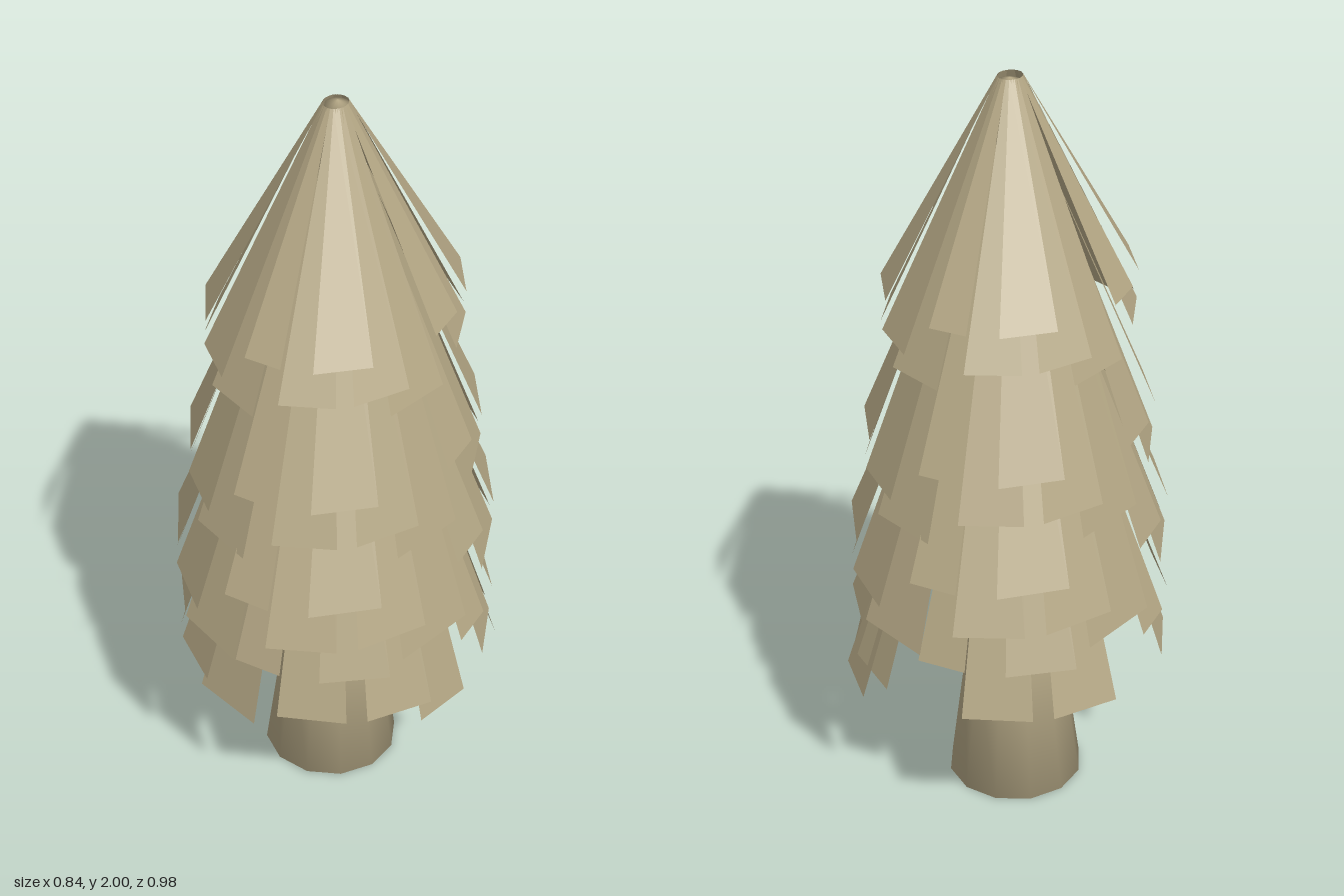
import * as THREE from 'three';

const DEG = Math.PI / 180;

// Each tier: inner radius and height, outer radius, depth relative to width,
// hem heights (short, mid, long)
const TIERS = [
  { r0: 0.03, y0: 2.0, r1: 0.307, depth: 1.2, hems: [1.49, 1.39, 1.335] },
  { r0: 0.06, y0: 1.85, r1: 0.357, depth: 1.19, hems: [1.12, 1.01, 0.94] },
  { r0: 0.09, y0: 1.6, r1: 0.397, depth: 1.2, hems: [0.84, 0.72, 0.645] },
  { r0: 0.1, y0: 1.4, r1: 0.41, depth: 1.01, hems: [0.57, 0.43, 0.36] },
];

// One quarter turn of boughs: [centre angle, half width in degrees, hem index],
// angles from +z towards +x
const QUARTER = [[12.5, 12.5, 1], [28, 12.5, 0], [45, 12.5, 1], [63, 14.5, 2], [82, 9, 0]];

// The few long boughs of the lowest tier: [centre angle, half width, outer radius]
const LOWEST = [[-25.6, 15, 0.392], [67, 12, 0.395], [124, 11.5, 0.43]];

// Flat wedge-shaped bough, narrow at the trunk and wide at its hem
function boughGeometry(angle, halfWidth, depth, r0, y0, r1, y1) {
  const corner = (r, y, side) => {
    const a = angle * DEG, w = r * Math.tan(halfWidth * DEG) * side;
    return [r * Math.sin(a) + w * Math.cos(a), y, (r * Math.cos(a) - w * Math.sin(a)) * depth];
  };
  const g = new THREE.BufferGeometry();
  g.setAttribute('position', new THREE.Float32BufferAttribute([
    ...corner(r0, y0, -1), ...corner(r1, y1, -1), ...corner(r1, y1, 1), ...corner(r0, y0, 1)], 3));
  g.setIndex([0, 1, 2, 0, 2, 3]);
  g.computeVertexNormals();
  return g;
}

export function createModel() {
  const tree = new THREE.Group();
  tree.name = 'pineTree';
  const bark = new THREE.MeshStandardMaterial({ color: 0xb3a684 });
  const needles = new THREE.MeshStandardMaterial({ color: 0xb3a684, side: THREE.DoubleSide });

  // Tapering trunk, closed at both ends and leaning very slightly
  const profile = [[0, 0.02], [0.183, 0], [0.135, 0.36], [0.115, 0.7], [0.03, 1.99], [0, 2]]
    .map(([r, y]) => new THREE.Vector2(r, y));
  const trunk = new THREE.Mesh(new THREE.LatheGeometry(profile, 12), bark);
  trunk.name = 'trunk';
  trunk.position.x = -0.015;
  trunk.rotation.set(-0.006, 0, -0.007);
  tree.add(trunk);

  // Four tiers of overlapping boughs
  TIERS.forEach(({ r0, y0, r1, depth, hems }, t) => {
    const tier = new THREE.Group();
    tier.name = `boughTier${t + 1}`;
    const isLowest = t === TIERS.length - 1;
    const add = (angle, halfWidth, hem, radius) => {
      const bough = new THREE.Mesh(
        boughGeometry(angle, halfWidth, depth, r0, y0, radius, hems[hem]), needles);
      bough.name = 'bough';
      tier.add(bough);
    };
    for (let q = 0; q < 4; q++) {
      for (const [angle, halfWidth, hem] of QUARTER) {
        if (isLowest && hem === 2) continue;
        add(angle + q * 90, halfWidth, hem, r1);
      }
    }
    if (isLowest) {
      for (const [angle, halfWidth, radius] of LOWEST) add(angle, halfWidth, 2, radius);
    }
    tree.add(tier);
  });

  return tree;
}
